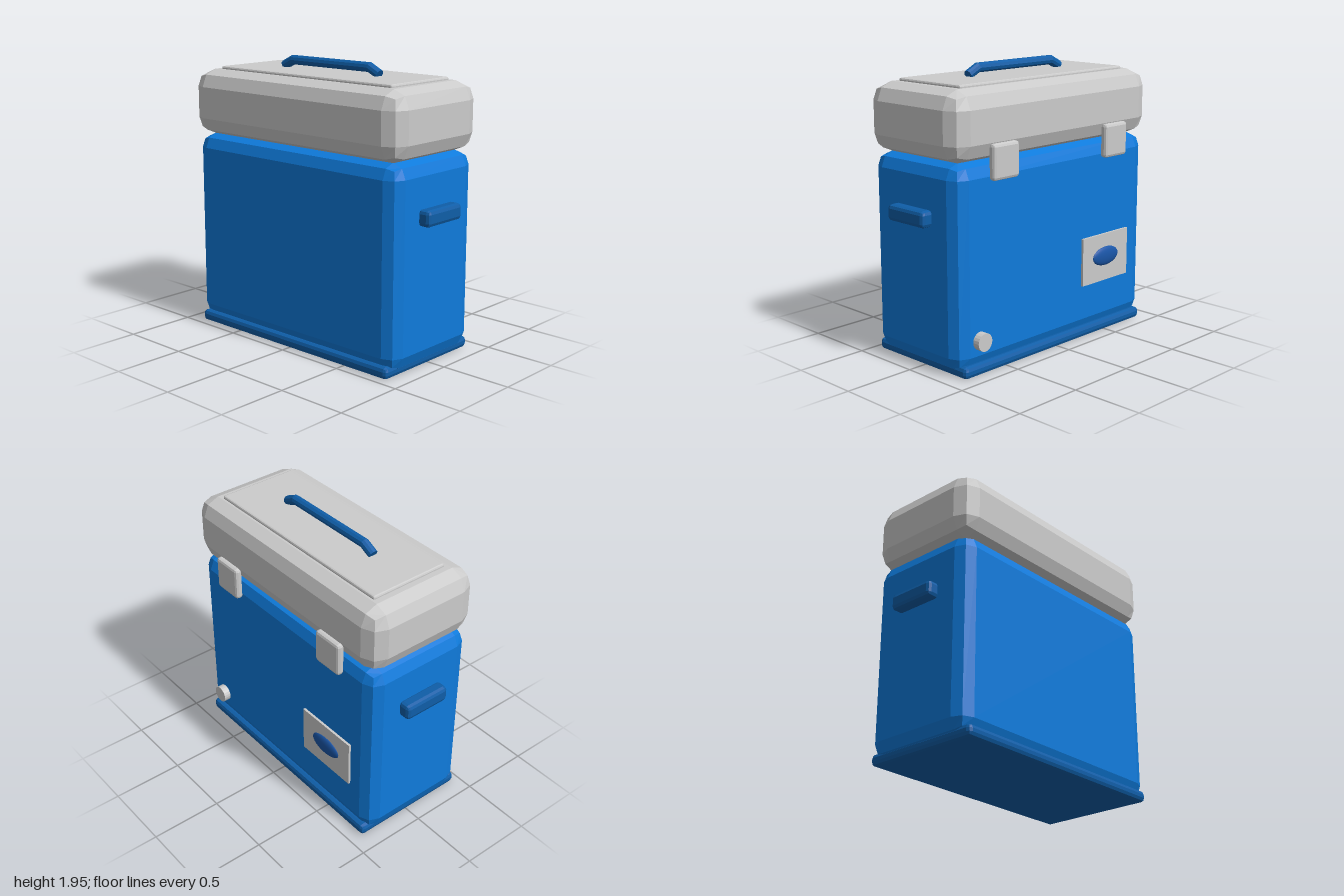
import * as THREE from 'three';
import { RoundedBoxGeometry } from 'three/addons/geometries/RoundedBoxGeometry.js';

const MID_Z = 0.02; // depth centre of the cooler; the fittings on the back shift it forward

const paint = (color, flatShading = true) =>
  new THREE.MeshStandardMaterial({ color, flatShading });

export function createModel() {
  const group = new THREE.Group();
  const blue = paint(0x0f7bdc);
  const darkBlue = paint(0x0f5ea8);
  const grey = paint(0xcccccc);

  const add = (name, geometry, material, x, y, z) => {
    const mesh = new THREE.Mesh(geometry, material);
    mesh.name = name;
    mesh.position.set(x, y, z);
    group.add(mesh);
    return mesh;
  };
  // Box with bevelled edges, given by its size, bevel and centre
  const block = (name, material, [w, h, d], bevel, x, y, z) =>
    add(name, new RoundedBoxGeometry(w, h, d, 1, bevel), material, x, y, z);

  // Main shells
  block('base', darkBlue, [1.76, 0.08, 0.86], 0.028, 0, 0.04, MID_Z);
  block('body', blue, [1.84, 1.36, 0.82], 0.1, 0, 0.71, MID_Z);
  block('lid', grey, [1.88, 0.46, 0.86], 0.12, 0, 1.615, MID_Z);
  block('lidPanel', grey, [1.56, 0.04, 0.58], 0.012, 0, 1.845, 0.015);

  // Carry handle: a cylinder whose four rings follow a path with mitred bends
  const path = [[-0.435, 1.876], [-0.35, 1.918], [0.35, 1.918], [0.435, 1.876]]
    .map(([x, y]) => new THREE.Vector2(x, y));
  const handle = new THREE.CylinderGeometry(0.033, 0.033, 3, 10, 3);
  const pos = handle.attributes.position;
  for (let i = 0; i < pos.count; i++) {
    const k = Math.round(1.5 - pos.getY(i));
    const before = path[Math.max(k - 1, 0)], here = path[k], after = path[Math.min(k + 1, 3)];
    const a = here.clone().sub(before).normalize();
    const b = after.clone().sub(here).normalize();
    const along = a.clone().add(b).normalize();
    const stretch = 1 / Math.max(along.dot(k === 0 ? b : a), 0.5);
    const r = pos.getX(i) * stretch;
    pos.setXYZ(i, here.x - along.y * r, here.y + along.x * r, pos.getZ(i));
  }
  handle.computeVertexNormals();
  add('carryHandle', handle, darkBlue, 0, 0, 0.017);

  // Side grips and back clasps, mirrored
  for (const s of [1, -1]) {
    const side = s > 0 ? 'left' : 'right';
    block(side + 'Grip', darkBlue, [0.1, 0.11, 0.345], 0.026, s * 0.95, 1.025, 0.018);
    block(side + 'Clasp', grey, [0.228, 0.235, 0.054], 0.02, s * 0.539, 1.383, -0.418);
  }

  // Drain plug on the back
  const plug = new THREE.CylinderGeometry(0.061, 0.061, 0.08, 20).rotateX(Math.PI / 2);
  add('drainPlug', plug, grey, 0.735, 0.23, -0.4);

  // Back plate with a domed oval badge
  add('backPlate', new THREE.BoxGeometry(0.48, 0.34, 0.03), grey, -0.485, 0.545, -0.392);
  const badge = new THREE.SphereGeometry(1, 24, 16).scale(0.135, 0.068, 0.025);
  add('ovalBadge', badge, paint(0x1a56a8, false), -0.485, 0.553, -0.405);

  return group;
}
